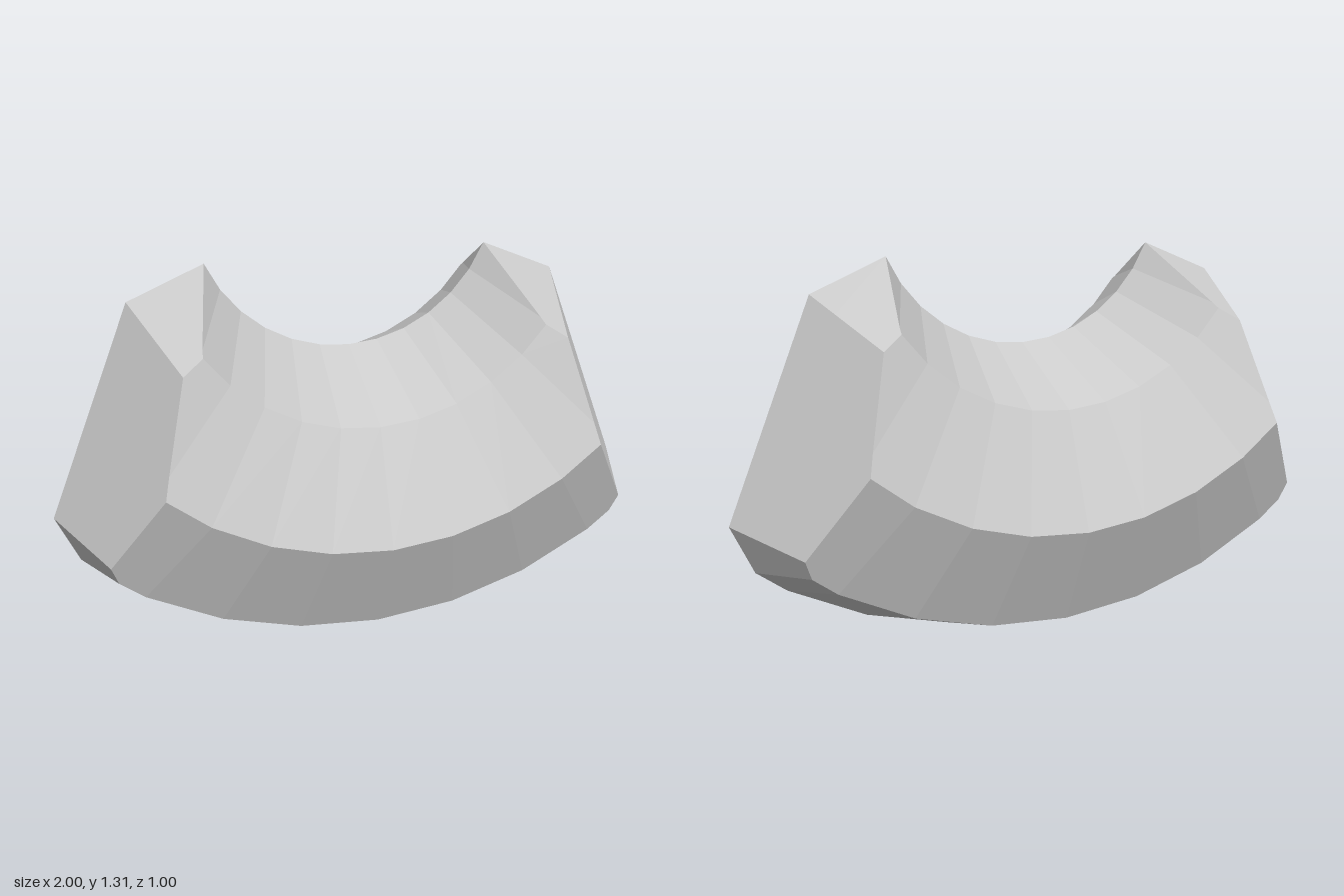
import * as THREE from 'three';

// Point on an octagonal tube bent around (0, 1.5, 0)
function tubePoint(i, j) {
  const phi = (i * Math.PI) / 4, theta = (j * Math.PI) / 16;
  const r = 1 + 0.5 * Math.cos(phi);
  return new THREE.Vector3(r * Math.sin(theta), 1.5 - r * Math.cos(theta), 0.5 * Math.sin(phi));
}

// Cut a closed set of polygons with a plane and close the cut with a fan
function cut(polygons, plane) {
  const kept = [], rim = [];
  const side = (p) => {
    const d = plane.distanceToPoint(p);
    return Math.abs(d) < 1e-7 ? 0 : d;
  };
  for (const poly of polygons) {
    const out = [];
    let leave = null, enter = null;
    poly.forEach((a, k) => {
      const b = poly[(k + 1) % poly.length];
      const da = side(a), db = side(b);
      if (da <= 0) out.push(a);
      if ((da <= 0) !== (db <= 0)) {
        const p = a.clone().lerp(b, da / (da - db));
        out.push(p);
        if (da <= 0) leave = p; else enter = p;
      }
    });
    if (out.length > 2) kept.push(out);
    if (leave && enter && leave.distanceTo(enter) > 1e-7) rim.push([enter, leave]);
  }
  if (rim.length) {
    const centre = new THREE.Vector3();
    rim.forEach(([p]) => centre.add(p));
    centre.divideScalar(rim.length);
    rim.forEach(([p, q]) => kept.push([centre, p, q]));
  }
  return kept;
}

export function createModel() {
  // Bent octagonal tube, a half turn long before trimming
  let polygons = [];
  for (let i = 0; i < 8; i++) {
    for (let j = -8; j < 8; j++) {
      polygons.push([tubePoint(i, j), tubePoint(i, j + 1), tubePoint(i + 1, j + 1), tubePoint(i + 1, j)]);
    }
  }

  // Trim both ends to the facets of a coarse unit ball centred at (0, 0.5, 0)
  const s = Math.SQRT1_2, t = 1 - s;
  const facets = [[t, s], [s, t], [s, -t]];
  for (const [nx, ny] of facets) {
    for (const sx of [1, -1]) {
      for (const sz of [1, -1]) {
        const plane = new THREE.Plane(new THREE.Vector3(nx * sx, ny, t * sz), -s - 0.5 * ny).normalize();
        polygons = cut(polygons, plane);
      }
    }
  }

  // Triangulate, dropping empty slivers
  const points = [];
  for (const poly of polygons) {
    for (let k = 1; k < poly.length - 1; k++) {
      const tri = new THREE.Triangle(poly[0], poly[k], poly[k + 1]);
      if (tri.getArea() > 1e-9) points.push(tri.a, tri.b, tri.c);
    }
  }
  const geometry = new THREE.BufferGeometry().setFromPoints(points);
  geometry.computeVertexNormals();

  const mesh = new THREE.Mesh(
    geometry,
    new THREE.MeshStandardMaterial({ color: 0xcccccc, flatShading: true })
  );
  mesh.name = 'curvedTubeSegment';

  const group = new THREE.Group();
  group.name = 'trimmedCurvedTube';
  group.add(mesh);
  return group;
}
